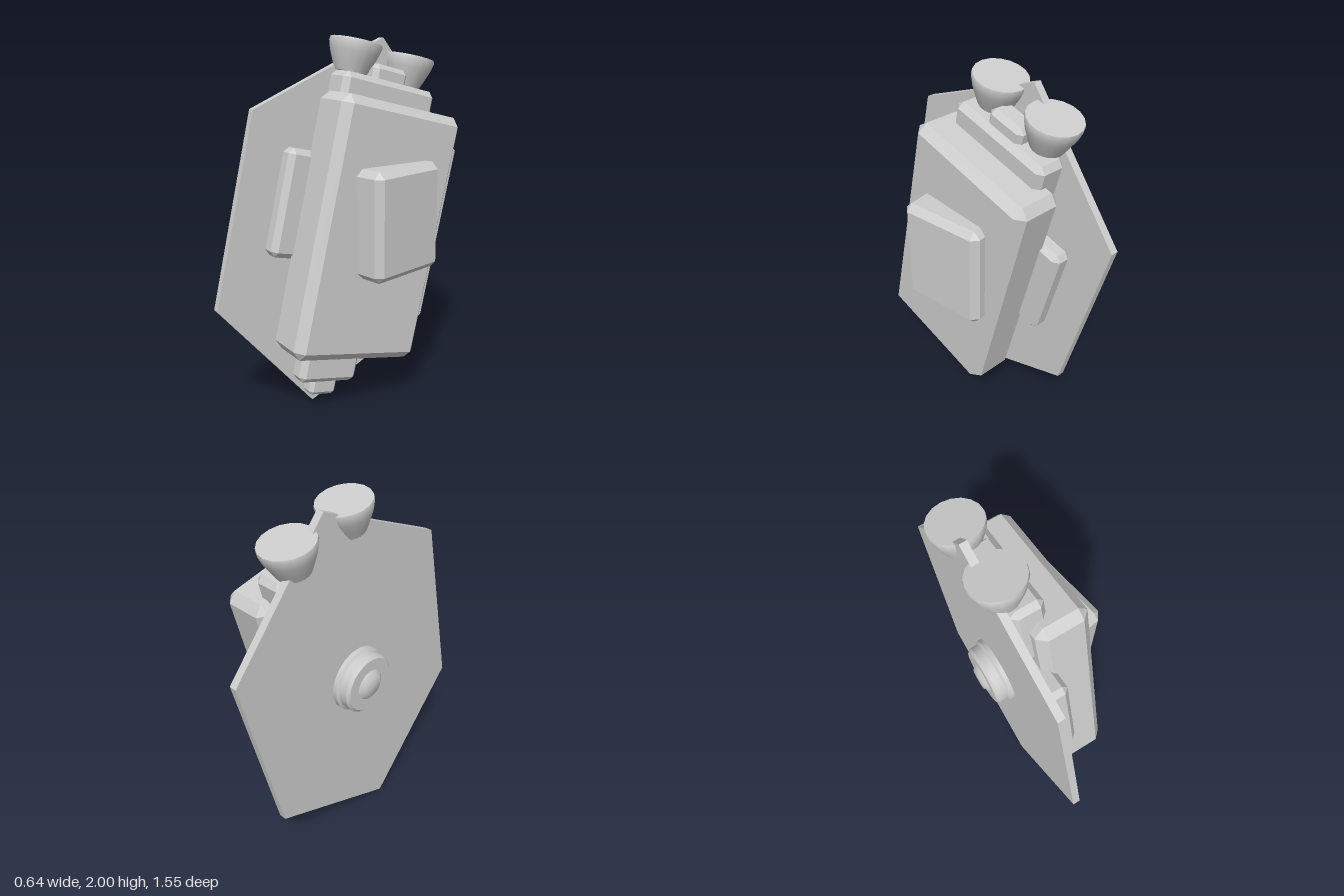
import * as THREE from 'three';
import { ConvexGeometry } from 'three/addons/geometries/ConvexGeometry.js';
import { toCreasedNormals } from 'three/addons/utils/BufferGeometryUtils.js';

const hull = new THREE.MeshStandardMaterial({ color: 0xcccccc });
hull.name = 'hull grey';

function part(parent, name, geometry, x = 0, y = 0, z = 0) {
  const mesh = new THREE.Mesh(geometry, hull);
  mesh.name = name;
  mesh.position.set(x, y, z);
  parent.add(mesh);
  return mesh;
}

// Box with chamfered edges, given by its limits on each axis
function block(parent, name, [x0, x1], [y0, y1], [z0, z1], c) {
  const h = [(x1 - x0) / 2, (y1 - y0) / 2, (z1 - z0) / 2];
  const points = [];
  for (const sx of [-1, 1]) for (const sy of [-1, 1]) for (const sz of [-1, 1])
    for (let axis = 0; axis < 3; axis++) {
      const p = h.map((v, i) => (i === axis ? v : v - c));
      points.push(new THREE.Vector3(sx * p[0], sy * p[1], sz * p[2]));
    }
  return part(parent, name, new ConvexGeometry(points), (x0 + x1) / 2, (y0 + y1) / 2, (z0 + z1) / 2);
}

function lathe(points, sides) {
  const profile = points.map(([r, y]) => new THREE.Vector2(r, y));
  return toCreasedNormals(new THREE.LatheGeometry(profile, sides), 0.6);
}

export function createModel() {
  const model = new THREE.Group();
  model.name = 'spacecraft';

  // Tilted frame that carries everything except the side pad
  const craft = new THREE.Group();
  craft.name = 'craft';
  craft.position.set(-0.005, 0.99, 0.029);
  craft.rotation.set(-0.24, -0.174, 0, 'YXZ');
  model.add(craft);

  // Hexagonal shield plate
  const hex = [[0, 1.02], [0.68, 0.51], [0.68, -0.51], [0, -1.02], [-0.68, -0.51], [-0.68, 0.51]];
  const outline = new THREE.Shape(hex.map(([a, b]) => new THREE.Vector2(a, b)));
  const plate = new THREE.ExtrudeGeometry(outline, { depth: 0.04, bevelEnabled: false });
  plate.translate(0, 0, -0.02).rotateY(Math.PI / 2);
  part(craft, 'shieldPlate', plate, -0.1625, -0.007, 0);

  // Hub on the outer face of the plate
  const hub = lathe([[0, 0], [0.18, 0], [0.18, 0.045], [0.165, 0.055], [0.165, 0.1], [0.15, 0.115],
    [0.085, 0.115], [0.055, 0.137], [0, 0.14]], 20);
  hub.rotateZ(Math.PI / 2);
  part(craft, 'hub', hub, -0.16, -0.007, 0);

  // Main body and the stepped blocks above and below it
  block(craft, 'mainBody', [-0.075, 0.2], [-0.67, 0.67], [-0.385, 0.385], 0.045);
  block(craft, 'upperBlock', [-0.14, 0.03], [0.4, 0.785], [-0.3, 0.3], 0.03);
  block(craft, 'topCap', [-0.13, 0.0], [0.7, 0.86], [-0.11, 0.11], 0.025);
  block(craft, 'lowerBlock', [-0.142, -0.02], [-0.88, -0.4], [-0.185, 0.185], 0.03);
  block(craft, 'bottomCap', [-0.15, -0.055], [-0.965, -0.8], [-0.085, 0.085], 0.02);

  // Long side block that shows on both sides of the body
  block(craft, 'sideBlock', [-0.125, -0.015], [-0.195, 0.36], [-0.5, 0.5], 0.028);

  // Pair of bell nozzles with necks
  const bell = [[0, 0], [0.085, 0], [0.105, 0.045], [0.128, 0.1], [0.14, 0.145], [0.137, 0.16], [0, 0.16]];
  for (const side of [-1, 1]) {
    part(craft, 'nozzle', lathe(bell, 18), -0.12, 0.79, side * 0.18);
    part(craft, 'nozzleNeck', new THREE.CylinderGeometry(0.06, 0.06, 0.22, 14), -0.1, 0.69, side * 0.18);
  }

  // Upright pad on the side of the body
  block(model, 'sidePad', [0.12, 0.318], [0.795, 1.36], [-0.232, 0.232], 0.035);

  return model;
}
